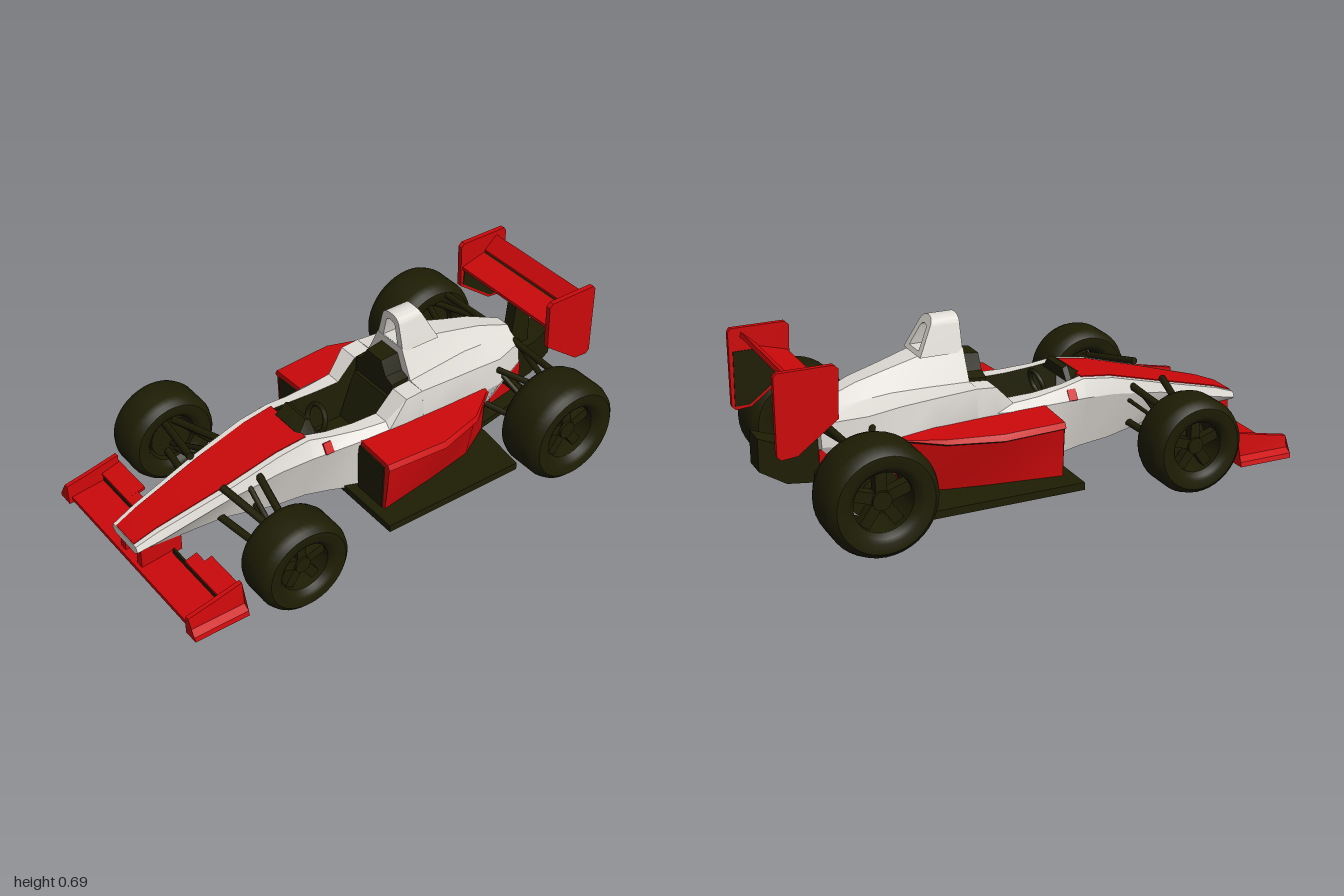
import * as THREE from 'three';
import { toCreasedNormals } from 'three/addons/utils/BufferGeometryUtils.js';

const paint = (name, color) => {
  const m = new THREE.MeshStandardMaterial({ color });
  m.name = name;
  return m;
};

export function createModel() {
  const model = new THREE.Group();
  model.name = 'raceCar';
  const white = paint('white', 0xe0dcd6);
  const red = paint('red', 0xcc080a);
  const dark = paint('dark', 0x1e1d04);

  const add = (name, geo, mat, parent = model) => {
    const mesh = new THREE.Mesh(geo, mat);
    mesh.name = name;
    parent.add(mesh);
    return mesh;
  };

  // Mirrored ring from a right-hand half section, bottom to top
  const sym = (z, ...half) => [
    ...half.map(([x, y]) => [x, y, z]),
    ...half.slice().reverse().map(([x, y]) => [-x, y, z]),
  ];
  const flip = (rings) => rings.map((r) => r.map(([x, y, z]) => [-x, y, z]).reverse());

  // Skin over rings ordered front to back; altMat colours the listed ring segments
  function loft(name, rings, mat, { caps = true, altMat = mat, alt = [] } = {}) {
    const pos = [], n = rings[0].length, geo = new THREE.BufferGeometry();
    const quad = (a, b, c, d) => pos.push(...a, ...b, ...c, ...a, ...c, ...d);
    for (let j = 0; j < n; j++) {
      const k = (j + 1) % n, start = pos.length / 3;
      for (let i = 0; i < rings.length - 1; i++) {
        const f = rings[i], b = rings[i + 1];
        quad(f[j], b[j], b[k], f[k]);
      }
      geo.addGroup(start, pos.length / 3 - start, alt.includes(j) ? 1 : 0);
    }
    if (caps) {
      const start = pos.length / 3, f = rings[0], b = rings[rings.length - 1];
      for (let j = 0; j < n / 2 - 1; j++) {
        quad(f[j], f[j + 1], f[n - 2 - j], f[n - 1 - j]);
        quad(b[n - 1 - j], b[n - 2 - j], b[j + 1], b[j]);
      }
      geo.addGroup(start, pos.length / 3 - start, 0);
    }
    geo.setAttribute('position', new THREE.Float32BufferAttribute(pos, 3));
    return add(name, toCreasedNormals(geo, 0.45), [mat, altMat]);
  }
  const loftPair = (name, rings, mat, options) => {
    loft(name, rings, mat, options);
    loft(name, flip(rings), mat, options);
  };

  // Side profile in [z, y] stretched from x0 to x1
  function slab(name, pts, x0, x1, mat) {
    const shape = new THREE.Shape(pts.map(([z, y]) => new THREE.Vector2(-z, y)));
    const geo = new THREE.ExtrudeGeometry(shape, { depth: x1 - x0, bevelEnabled: false });
    return add(name, geo.rotateY(Math.PI / 2).translate(x0, 0, 0), mat);
  }
  const slabPair = (name, pts, x0, x1, mat) => {
    slab(name, pts, x0, x1, mat);
    slab(name, pts, -x1, -x0, mat);
  };

  function rod(name, a, b, r = 0.011) {
    for (const s of [1, -1]) {
      const p = new THREE.Vector3(a[0] * s, a[1], a[2]);
      const q = new THREE.Vector3(b[0] * s, b[1], b[2]);
      const m = add(name, new THREE.CylinderGeometry(r, r, p.distanceTo(q), 8), dark);
      m.position.copy(p).lerp(q, 0.5);
      m.quaternion.setFromUnitVectors(new THREE.Vector3(0, 1, 0), q.sub(p).normalize());
    }
  }

  // Nose and its painted top
  loft('nose', [
    sym(0.99, [0.07, 0.165], [0.09, 0.18], [0.08, 0.201]),
    sym(0.9, [0.075, 0.165], [0.102, 0.2], [0.09, 0.235]),
    sym(0.62, [0.08, 0.15], [0.132, 0.275], [0.122, 0.312]),
    sym(0.4, [0.1, 0.112], [0.152, 0.31], [0.134, 0.371]),
    sym(0.27, [0.105, 0.1], [0.168, 0.32], [0.137, 0.388]),
  ], white);
  const stripe = (z, w, y) => sym(z, [w, y - 0.002], [w, y + 0.004]);
  loft('noseStripe', [
    stripe(0.988, 0.062, 0.201), stripe(0.9, 0.07, 0.235), stripe(0.62, 0.098, 0.312),
    stripe(0.4, 0.108, 0.371), stripe(0.27, 0.114, 0.388),
  ], red);

  // Cockpit tub with a dark lining
  const tub = (z, wb, yb, wm, ym, wt, yt, wi) =>
    sym(z, [wb, yb], [wm, ym], [wt, yt], [wi, yt], [wi - 0.015, 0.2]);
  loft('cockpitTub', [
    tub(0.27, 0.105, 0.1, 0.168, 0.32, 0.137, 0.388, 0.1),
    tub(0.18, 0.13, 0.095, 0.183, 0.325, 0.15, 0.372, 0.113),
    tub(0.06, 0.175, 0.09, 0.203, 0.332, 0.17, 0.36, 0.12),
    tub(-0.05, 0.18, 0.085, 0.21, 0.332, 0.185, 0.358, 0.122),
    tub(-0.13, 0.18, 0.085, 0.216, 0.34, 0.207, 0.44, 0.122),
    tub(-0.21, 0.18, 0.085, 0.217, 0.34, 0.207, 0.446, 0.122),
  ], white, { caps: false, altMat: dark, alt: [3, 4, 5] });
  loft('windscreen', [
    sym(0.285, [0.09, 0.384], [0.06, 0.392]),
    sym(0.235, [0.1, 0.375], [0.065, 0.425]),
    sym(0.215, [0.1, 0.372], [0.065, 0.415]),
  ], dark);
  const wheelRim = add('steeringWheel', new THREE.TorusGeometry(0.055, 0.01, 8, 20), dark);
  wheelRim.position.set(0, 0.345, 0.14);
  wheelRim.rotation.x = -0.3;
  loft('headrest', [
    sym(-0.13, [0.115, 0.2], [0.115, 0.45], [0.075, 0.467], [0.045, 0.525]),
    sym(-0.215, [0.115, 0.2], [0.117, 0.458], [0.08, 0.47], [0.05, 0.535]),
  ], dark);
  const seat = add('seatBack', new THREE.BoxGeometry(0.2, 0.2, 0.03), dark);
  seat.position.set(0, 0.3, -0.09);
  seat.rotation.x = -0.35;
  for (const s of [1, -1]) {
    const mark = add('sideMark', new THREE.BoxGeometry(0.008, 0.045, 0.035), red);
    mark.position.set(s * 0.169, 0.343, 0.205);
    mark.rotation.z = s * 0.58;
  }

  // Engine cover, rear flank panels and air intake hoop
  loft('engineCover', [
    sym(-0.205, [0.18, 0.085], [0.217, 0.34], [0.207, 0.446], [0.132, 0.449], [0.076, 0.565]),
    sym(-0.36, [0.15, 0.085], [0.215, 0.325], [0.203, 0.435], [0.115, 0.447], [0.055, 0.555]),
    sym(-0.5, [0.12, 0.085], [0.205, 0.3], [0.192, 0.42], [0.095, 0.44], [0.045, 0.515]),
    sym(-0.62, [0.1, 0.12], [0.185, 0.285], [0.172, 0.395], [0.085, 0.425], [0.04, 0.482]),
    sym(-0.78, [0.06, 0.16], [0.112, 0.28], [0.1, 0.365], [0.05, 0.395], [0.03, 0.415]),
  ], white);
  slabPair('rearPanel', [[-0.64, 0.11], [-0.64, 0.26], [-0.79, 0.27], [-0.79, 0.13]], 0.1, 0.108, red);
  const hoop = new THREE.Shape();
  hoop.moveTo(-0.08, 0.55).lineTo(0.08, 0.55).lineTo(0.052, 0.655);
  hoop.quadraticCurveTo(0.045, 0.687, 0, 0.687).quadraticCurveTo(-0.045, 0.687, -0.052, 0.655);
  const slot = new THREE.Path();
  slot.moveTo(-0.044, 0.566).lineTo(0.044, 0.566).lineTo(0.027, 0.64);
  slot.quadraticCurveTo(0.022, 0.656, 0, 0.656).quadraticCurveTo(-0.022, 0.656, -0.027, 0.64);
  hoop.holes.push(slot);
  const hoopGeo = new THREE.ExtrudeGeometry(hoop, { depth: 0.1, bevelEnabled: false, curveSegments: 8 });
  const hp = hoopGeo.attributes.position;
  for (let i = 0; i < hp.count; i++) {
    hp.setZ(i, hp.getZ(i) > 0.05 ? -0.208 : -0.31 - (0.687 - hp.getY(i)) * 0.5);
  }
  add('intakeHoop', toCreasedNormals(hoopGeo, 0.6), white);

  // Side pods with a top lip, a dark shadow gap below it and dark inlets
  const pod = (z, xo, yt, tuck) => [[0.185, 0.1, z], [xo - tuck, 0.1, z], [xo - 0.02, 0.292, z],
    [xo, 0.303, z], [xo - 0.012, yt - 0.006, z], [0.185, yt + 0.004, z]];
  loftPair('sidePod', [pod(0.075, 0.375, 0.33, 0.025), pod(-0.18, 0.392, 0.332, 0.08),
    pod(-0.38, 0.335, 0.325, 0.06), pod(-0.53, 0.22, 0.31, 0.03)], red, { altMat: dark, alt: [2] });
  loftPair('podInlet', [0.081, 0.072].map((z) =>
    [[0.186, 0.105, z], [0.335, 0.105, z], [0.345, 0.302, z], [0.186, 0.312, z]]), dark);

  // Floor and diffuser
  const outline = [[0.44, 0.12], [0.44, -0.5], [0.22, -0.53]];
  const floorShape = new THREE.Shape([...outline, ...outline.slice().reverse().map(([x, z]) => [-x, z])]
    .map(([x, z]) => new THREE.Vector2(x, -z)));
  const floorGeo = new THREE.ExtrudeGeometry(floorShape, { depth: 0.03, bevelEnabled: false });
  add('floor', floorGeo.rotateX(-Math.PI / 2).translate(0, 0.075, 0), dark);
  slab('diffuser', [[-0.52, 0.075], [-0.52, 0.1], [-0.8, 0.16], [-0.8, 0.14]], -0.17, 0.17, dark);
  loft('gearbox', [
    sym(-0.68, [0.08, 0.12], [0.08, 0.3]),
    sym(-0.9, [0.06, 0.14], [0.06, 0.29]),
    sym(-1.0, [0.05, 0.2], [0.05, 0.33]),
  ], dark);

  // Front wing
  slab('frontWing', [[0.985, 0.07], [0.985, 0.087], [0.83, 0.105], [0.83, 0.088]], -0.43, 0.43, red);
  slabPair('frontFlap', [[0.85, 0.125], [0.85, 0.135], [0.77, 0.158], [0.77, 0.146]], 0.235, 0.43, red);
  slabPair('flapRoot', [[0.85, 0.125], [0.85, 0.135], [0.8, 0.149], [0.8, 0.137]], 0.18, 0.235, red);
  slabPair('flapGap', [[0.848, 0.1], [0.848, 0.126], [0.84, 0.127], [0.84, 0.1]], 0.09, 0.42, dark);
  const endPlate = (z, h) => [[0.42, 0.06, z], [0.485, 0.062, z], [0.48, 0.08, z],
    [0.452, 0.095, z], [0.443, h, z], [0.425, h, z]];
  loftPair('frontEndPlate', [endPlate(1, 0.14), endPlate(0.9, 0.16), endPlate(0.775, 0.188)], red);
  slabPair('nosePylon', [[0.97, 0.08], [0.97, 0.172], [0.8, 0.172], [0.8, 0.09]], 0.042, 0.075, red);

  // Rear wing
  slab('rearWing', [[-0.775, 0.527], [-0.775, 0.54], [-0.885, 0.57], [-0.885, 0.555]], -0.265, 0.265, red);
  slab('rearFlap', [[-0.892, 0.567], [-0.892, 0.58], [-0.95, 0.632], [-0.955, 0.615]], -0.265, 0.265, red);
  slab('rearWingGap', [[-0.88, 0.558], [-0.88, 0.567], [-0.895, 0.573], [-0.895, 0.564]], -0.26, 0.26, dark);
  slabPair('rearEndPlate', [[-0.765, 0.635], [-0.78, 0.65], [-0.99, 0.65], [-1, 0.635], [-1, 0.345],
    [-0.985, 0.33], [-0.925, 0.335], [-0.77, 0.45]], 0.257, 0.278, red);
  slabPair('endPlateLining', [[-0.785, 0.525], [-0.9, 0.56], [-0.985, 0.56], [-0.988, 0.345],
    [-0.93, 0.345], [-0.782, 0.455]], 0.254, 0.26, dark);
  slab('wingPillar', [[-0.8, 0.26], [-0.83, 0.54], [-0.9, 0.56], [-0.9, 0.26]], -0.025, 0.025, dark);

  // Wheels: tyre ring, five spokes, hub and brake disc
  function wheel(name, x, y, z, R, w) {
    const g = new THREE.Group();
    g.name = name;
    const half = [[0.53, 0.36], [0.6, 0.46], [0.68, 0.5], [0.86, 0.5], [0.95, 0.42], [1, 0.28]];
    const pts = [...half.map(([r, t]) => [r, -t]), ...half.slice().reverse(), [0.53, -0.36]]
      .map(([r, t]) => new THREE.Vector2(r * R, t * w));
    add('tyre', toCreasedNormals(new THREE.LatheGeometry(pts, 40).rotateZ(-Math.PI / 2), 0.6), dark, g);
    add('hub', new THREE.CylinderGeometry(R * 0.17, R * 0.17, w * 0.6, 16).rotateZ(Math.PI / 2), dark, g);
    for (let i = 0; i < 5; i++) {
      const spoke = new THREE.BoxGeometry(w * 0.2, R * 0.55, R * 0.2).translate(0, R * 0.28, 0);
      add('spoke', spoke.rotateX(i * Math.PI * 0.4), dark, g).position.x = Math.sign(x) * w * 0.15;
    }
    const brake = new THREE.CylinderGeometry(R * 0.47, R * 0.47, w * 0.15, 20).rotateZ(Math.PI / 2);
    add('brakeDisc', brake, dark, g).position.x = -Math.sign(x) * w * 0.25;
    g.position.set(x, y, z);
    model.add(g);
  }
  for (const s of [1, -1]) {
    wheel('frontWheel', s * 0.45, 0.196, 0.555, 0.187, 0.18);
    wheel('rearWheel', s * 0.435, 0.212, -0.7, 0.212, 0.215);
  }

  // Suspension
  for (const dz of [-0.07, 0.08]) {
    rod('frontUpperArm', [0.11, 0.325, 0.555 + dz], [0.42, 0.265, 0.555 + dz * 0.2], 0.015);
    rod('frontLowerArm', [0.08, 0.165, 0.555 + dz], [0.42, 0.135, 0.555 + dz * 0.2], 0.015);
  }
  rod('frontPushrod', [0.11, 0.3, 0.53], [0.4, 0.16, 0.555]);
  rod('steeringRod', [0.12, 0.27, 0.47], [0.42, 0.23, 0.51], 0.008);
  for (const z of [-0.57, -0.79]) {
    rod('rearUpperArm', [0.08, 0.36, z], [0.4, 0.335, -0.7], 0.013);
    rod('rearLowerArm', [0.06, 0.17, z], [0.4, 0.13, -0.7], 0.013);
  }
  rod('rearTopRod', [0.08, 0.37, -0.77], [0.34, 0.37, -0.76], 0.014);
  rod('rearPushrod', [0.1, 0.36, -0.62], [0.4, 0.16, -0.7]);
  rod('driveShaft', [0.05, 0.22, -0.72], [0.42, 0.212, -0.7], 0.02);

  return model;
}
